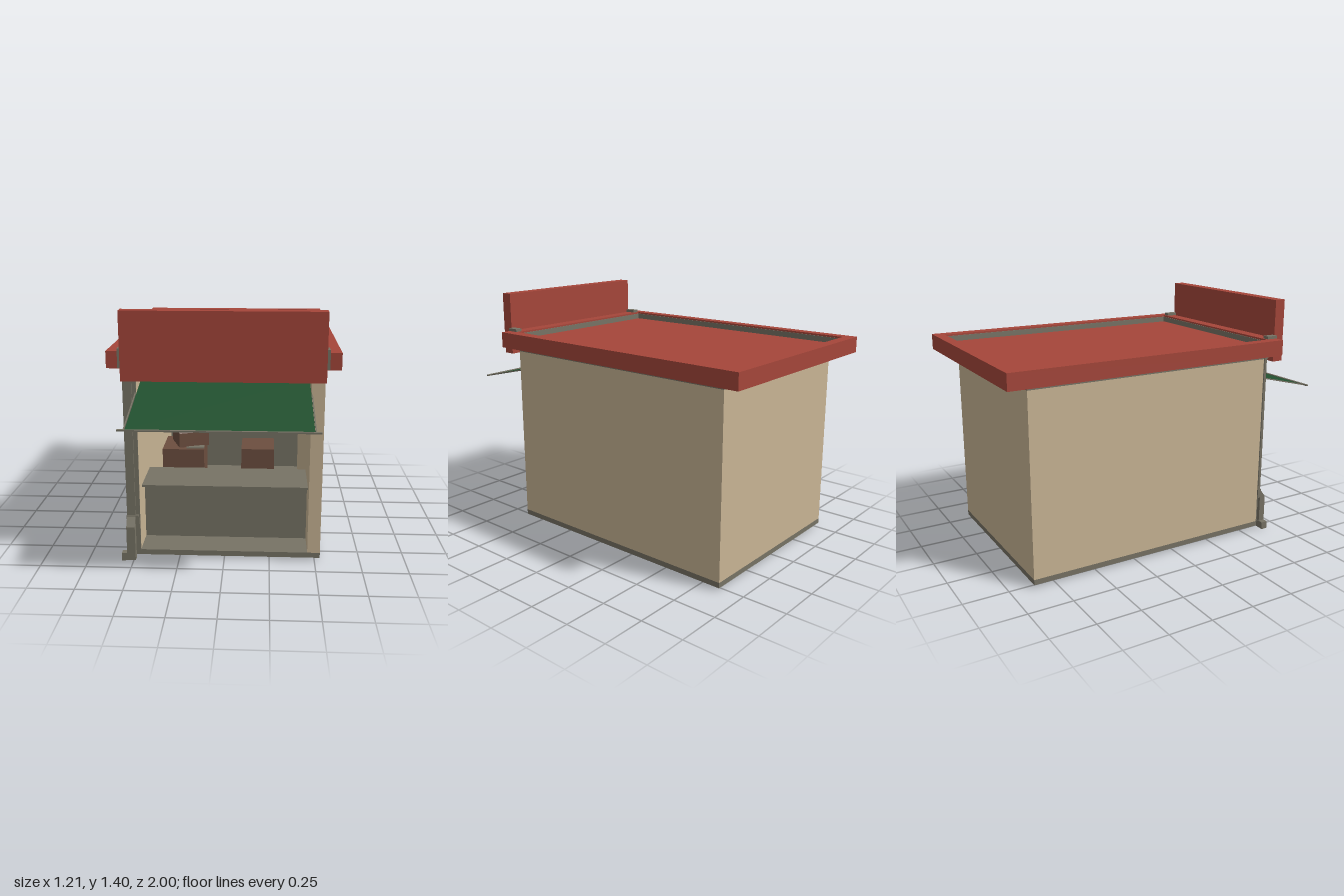
import * as THREE from 'three';

const mat = (name, color, side = THREE.FrontSide) => {
  const m = new THREE.MeshStandardMaterial({ color, side });
  m.name = name;
  return m;
};

export function createModel() {
  const model = new THREE.Group();
  model.name = 'marketStall';
  const tan = mat('tanPlaster', 0xc9b595);
  const red = mat('brickRed', 0xa5463a);
  const grey = mat('warmGrey', 0x777365);
  const green = mat('awningGreen', 0x22502f, THREE.DoubleSide);
  const brown = mat('brownWood', 0x6c4e3f);

  const add = (name, geometry, material, parent = model) => {
    const mesh = new THREE.Mesh(geometry, material);
    mesh.name = name;
    parent.add(mesh);
    return mesh;
  };
  // Box given by its limits on each axis
  const box = (name, material, x0, x1, y0, y1, z0, z1) => {
    const mesh = add(name, new THREE.BoxGeometry(x1 - x0, y1 - y0, z1 - z0), material);
    mesh.position.set((x0 + x1) / 2, (y0 + y1) / 2, (z0 + z1) / 2);
    return mesh;
  };
  // Prism with a (z, y) outline, running along x from x0 to x1
  const prism = (points, x0, x1) => {
    const shape = new THREE.Shape(points.map(([z, y]) => new THREE.Vector2(-z, y)));
    return new THREE.ExtrudeGeometry(shape, { depth: x1 - x0, bevelEnabled: false })
      .rotateY(Math.PI / 2).translate(x0, 0, 0);
  };

  // Shell: floor, three walls with front returns, ceiling trim
  box('floor', grey, -0.53, 0.53, 0.015, 0.045, -0.87, 0.615);
  box('leftWall', tan, 0.46, 0.53, 0.045, 1.065, -0.87, 0.615);
  box('rightWall', tan, -0.53, -0.465, 0.045, 1.065, -0.87, 0.61);
  box('backWall', tan, -0.465, 0.46, 0.045, 1.065, -0.87, -0.81);
  box('backWallLining', grey, -0.465, 0.46, 0.045, 1.065, -0.81, -0.804);
  box('ceiling', grey, -0.53, 0.53, 1.065, 1.092, -0.87, 0.615);
  box('frontPostFacing', grey, -0.53, -0.465, 0.045, 1.065, 0.61, 0.617);

  // Lintel and shutter rails over the opening
  box('lintel', grey, -0.465, 0.46, 0.985, 1.065, 0.4, 0.44);
  box('shutterRail', grey, -0.44, 0.46, 1.028, 1.036, 0.44, 0.47);

  // Roof: raised rim around a sunken panel
  const rim = new THREE.Shape();
  rim.moveTo(-0.605, -0.68).lineTo(0.605, -0.68).lineTo(0.605, 1).lineTo(-0.605, 1).closePath();
  const hole = new THREE.Path();
  hole.moveTo(-0.545, -0.61).lineTo(-0.545, 0.94).lineTo(0.54, 0.94).lineTo(0.54, -0.61).closePath();
  rim.holes.push(hole);
  add('roofRim', new THREE.ExtrudeGeometry(rim, { depth: 0.09, bevelEnabled: false })
    .rotateX(-Math.PI / 2).translate(0, 1.092, 0), red);
  box('roofPanel', red, -0.545, 0.54, 1.094, 1.14, -0.94, 0.61);
  for (const [x0, x1] of [[-0.545, -0.54], [0.535, 0.54]])
    box('roofSideFlashing', grey, x0, x1, 1.14, 1.172, -0.94, 0.61);
  for (const [z0, z1] of [[-0.94, -0.935], [0.605, 0.61]])
    box('roofEndFlashing', grey, -0.54, 0.535, 1.14, 1.172, z0, z1);

  // Sign board and its brackets
  box('signBoard', red, -0.52, 0.525, 1.04, 1.4, 0.687, 0.752);
  for (const [x0, x1] of [[-0.545, -0.505], [0.505, 0.545]]) {
    box('signBracketFront', grey, x0, x1, 1.095, 1.19, 0.68, 0.687);
    box('signBracketTop', grey, x0, x1, 1.182, 1.198, 0.62, 0.687);
  }

  // Awning sheet with arms and front bar
  const sheet = new THREE.PlaneGeometry(0.92, Math.hypot(0.55, 0.138));
  const awning = add('awning', sheet, green);
  awning.rotation.x = -Math.PI / 2 + Math.atan2(0.138, 0.55);
  awning.position.set(-0.002, 0.922, 0.715);
  for (const x of [-0.468, 0.463])
    add('awningArm', prism([[0.61, 0.943], [0.99, 0.849], [0.99, 0.856], [0.61, 0.95]], x - 0.003, x + 0.003), grey);
  box('awningBar', grey, -0.5, 0.49, 0.85, 0.858, 0.986, 1);

  // Downpipe: straight run, kick-out, foot
  add('downpipe', prism([
    [0.6, 1.092], [0.66, 1.092], [0.628, 1.06], [0.628, 0.255], [0.668, 0.2], [0.668, 0.03],
    [0.63, 0.03], [0.63, 0.195], [0.612, 0.24], [0.612, 1.06],
  ], -0.535, -0.488), grey);
  box('pipeCollar', grey, -0.537, -0.47, 0.2, 0.255, 0.61, 0.632);
  box('pipeFoot', grey, -0.565, -0.488, 0.003, 0.045, 0.628, 0.668);
  box('pipeFootTip', grey, -0.565, -0.545, 0, 0.01, 0.63, 0.666);

  // Serving counter
  box('counterTop', grey, -0.465, 0.46, 0.382, 0.395, 0.23, 0.53);
  box('counterPanel', grey, -0.465, 0.46, 0.045, 0.382, 0.41, 0.43);

  // Cabinets behind the counter
  box('rearCabinet', brown, -0.43, -0.165, 0.045, 0.405, -0.36, -0.08);
  box('sideCabinet', brown, 0.07, 0.28, 0.045, 0.399, -0.36, -0.12);
  box('stoveFoot', grey, -0.28, -0.168, 0.405, 0.412, -0.2, -0.1);

  // Small chest with a sloped lid, turned slightly
  const chest = new THREE.Group();
  chest.name = 'chest';
  chest.position.set(-0.262, 0, -0.22);
  chest.rotation.y = 0.35;
  model.add(chest);
  add('chestBody', prism([
    [-0.09, 0.408], [-0.09, 0.5], [-0.045, 0.54], [0.045, 0.54], [0.09, 0.5], [0.09, 0.408],
  ].reverse(), -0.098, 0.098), brown);
  chest.add(model.getObjectByName('chestBody'));
  add('chestLid', new THREE.BoxGeometry(0.18, 0.013, 0.08), brown, chest).position.set(0, 0.546, -0.005);

  return model;
}
